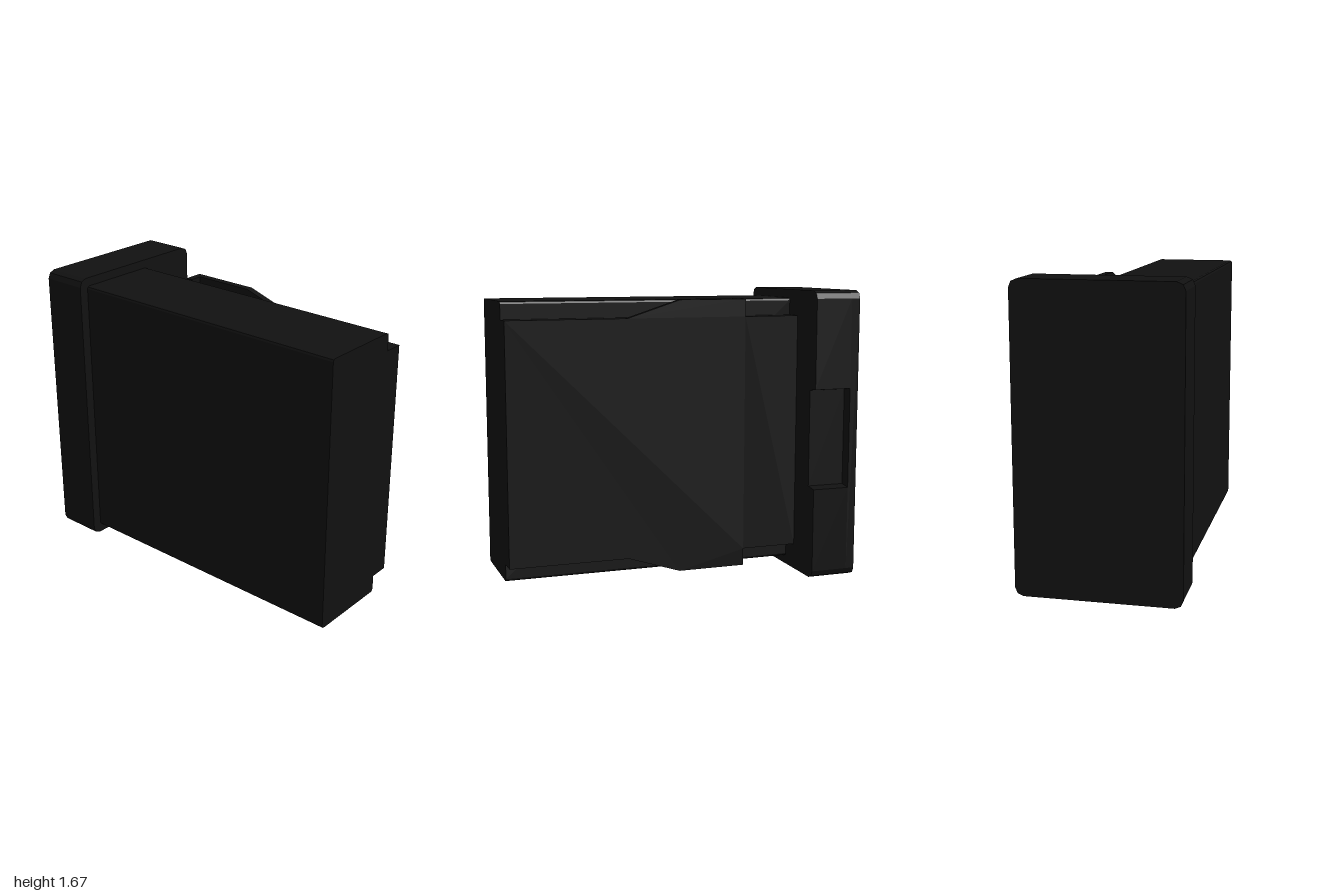
import * as THREE from 'three';

const material = new THREE.MeshStandardMaterial({ color: 0x111111, flatShading: true });
const MID = 0.835; // height of the mirror plane between top and bottom

const shapeOf = (points) => new THREE.Shape(points.map(([x, y]) => new THREE.Vector2(x, y)));

// Closed outline in x/y, extruded from z0 to z1
function extrudeZ(points, z0, z1) {
  const g = new THREE.ExtrudeGeometry(shapeOf(points), { depth: z1 - z0, bevelEnabled: false });
  return g.translate(0, 0, z0);
}

// Closed outline in z/y, extruded from x0 to x1
function extrudeX(points, x0, x1) {
  const g = new THREE.ExtrudeGeometry(shapeOf(points), { depth: x1 - x0, bevelEnabled: false });
  return g.rotateY(-Math.PI / 2).translate(x1, 0, 0);
}

function box(x0, x1, y0, y1, z0, z1) {
  return new THREE.BoxGeometry(x1 - x0, y1 - y0, z1 - z0)
    .translate((x0 + x1) / 2, (y0 + y1) / 2, (z0 + z1) / 2);
}

// Rectangle with cut corners; extra points are inserted along the +x side
function cutRect(x0, x1, y0, y1, c, side = []) {
  return [[x0 + c, y0], [x1 - c, y0], [x1 - c * 0.3, y0 + c * 0.3], [x1, y0 + c], ...side,
    [x1, y1 - c], [x1 - c * 0.3, y1 - c * 0.3], [x1 - c, y1],
    [x0 + c, y1], [x0 + c * 0.3, y1 - c * 0.3], [x0, y1 - c],
    [x0, y0 + c], [x0 + c * 0.3, y0 + c * 0.3]];
}

export function createModel() {
  const group = new THREE.Group();
  const add = (name, geometry) => {
    const mesh = new THREE.Mesh(geometry, material);
    mesh.name = name;
    group.add(mesh);
  };

  // End cap: solid back layer and a front layer with a finger recess in its side
  add('capBack', extrudeZ(cutRect(-0.45, 0.45, 0, 1.67, 0.045), -1, -0.95));
  const recess = [[0.45, 0.53], [0.38, 0.54], [0.38, 1.1], [0.45, 1.11]];
  add('capFront', extrudeZ(cutRect(-0.45, 0.45, 0, 1.67, 0.045, recess), -0.95, -0.73));

  // Main slab of the body
  add('bodySlab', extrudeZ(cutRect(-0.395, 0.09, 0.05, 1.62, 0.015), -0.73, 1));

  // Lower step beside the slab, forming the groove floor
  add('grooveCore', box(0.09, 0.16, 0.15, 1.52, -0.73, 1));

  // Outer side plate with a raised, ramped guide at top and bottom
  const upper = [[1, 1.52], [0.31, 1.52], [0, 1.62], [-0.4, 1.62], [-0.4, 1.52], [-0.73, 1.52]];
  const lower = upper.map(([z, y]) => [z, 2 * MID - y]).reverse();
  add('sidePlate', extrudeX([...upper, ...lower], 0.16, 0.2));

  // Small walls closing the grooves behind the guides
  add('grooveWallTop', box(0.09, 0.16, 1.52, 1.62, -0.4, -0.36));
  add('grooveWallBottom', box(0.09, 0.16, 0.05, 0.15, -0.4, -0.36));

  return group;
}
